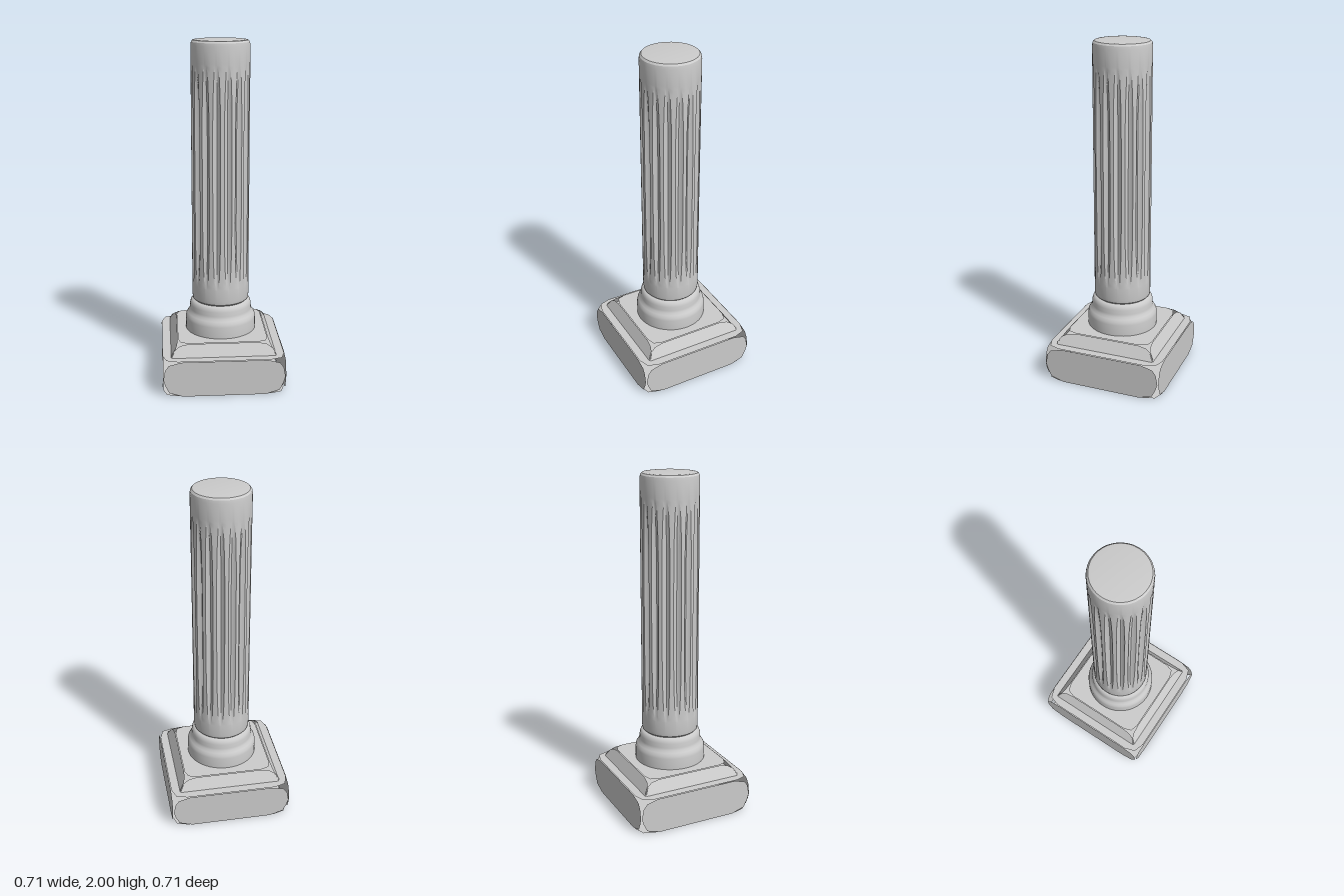
import * as THREE from 'three';
import { toCreasedNormals } from 'three/addons/utils/BufferGeometryUtils.js';

const material = new THREE.MeshStandardMaterial({ color: 0xcccccc, side: THREE.DoubleSide });

function addMesh(parent, name, geometry) {
  const mesh = new THREE.Mesh(geometry, material);
  mesh.name = name;
  parent.add(mesh);
  return mesh;
}

// flat panel, mirrored left to right from its right-hand outline (bottom to top)
function panelGeometry(half) {
  const left = half.map(([x, y]) => [-x, y]).reverse();
  const points = [...half, ...left].map(([x, y]) => new THREE.Vector2(x, y));
  return new THREE.ShapeGeometry(new THREE.Shape(points));
}

// square horizontal panel with softened corners
function squarePanel(r, y) {
  const a = r * 0.76, b = r * 0.94;
  const geometry = panelGeometry([[a, -r], [b, -b], [r, -a], [r, a], [b, b], [a, r]]);
  return geometry.rotateX(-Math.PI / 2).translate(0, y, 0);
}

// four side panels; z varies from zBottom to zTop over the panel height
function addSides(parent, name, half, zBottom, zTop) {
  const y0 = half[0][1], y1 = half[half.length - 1][1];
  const geometry = panelGeometry(half);
  const p = geometry.attributes.position;
  for (let i = 0; i < p.count; i++) {
    p.setZ(i, THREE.MathUtils.mapLinear(p.getY(i), y0, y1, zBottom, zTop));
  }
  geometry.computeVertexNormals();
  for (let i = 0; i < 4; i++) addMesh(parent, name, geometry).rotation.y = i * Math.PI / 2;
}

function lathe(points, segments) {
  return new THREE.LatheGeometry(points.map(([r, y]) => new THREE.Vector2(r, y)), segments);
}

// shaft with 16 pointed flutes: columns are drawn to the flute edges and sunk between them
function shaftGeometry() {
  const flutes = 16, columns = 6, y0 = 0.57, y1 = 1.88, rows = 24;
  const profile = [[0, 0.47], [0.155, 0.47], [0.165, 0.48], [0.168, 0.5]];
  for (let i = 0; i <= rows; i++) {
    const s = (1 - Math.cos(Math.PI * i / rows)) / 2;
    profile.push([0.168, y0 + (y1 - y0) * s]);
  }
  profile.push([0.168, 1.97], [0.165, 1.988], [0.156, 1.998], [0.14, 2], [0, 2]);
  const geometry = lathe(profile, flutes * columns);
  const p = geometry.attributes.position;
  const step = 2 * Math.PI / flutes;
  for (let i = 0; i < p.count; i++) {
    const y = p.getY(i);
    let r = Math.hypot(p.getX(i), p.getZ(i));
    const column = Math.floor(i / profile.length) % (flutes * columns);
    const k = column % columns;
    const s = Math.abs(2 * (y - y0) / (y1 - y0) - 1);
    const open = Math.max(0, 1 - s ** 4);
    const width = 0.06 + 0.075 * open;
    const t = (k - 2) / 2;
    const offset = k < 5 ? t * width : step / 2;
    if (k < 5) r -= 0.02 * open * (1 - t * t);
    const angle = (Math.floor(column / columns) + 0.5) * step + offset;
    p.setXYZ(i, r * Math.sin(angle), y, r * Math.cos(angle));
  }
  return toCreasedNormals(geometry, 0.45);
}

export function createModel() {
  const column = new THREE.Group();
  column.name = 'column';

  // lower plinth: six soft-cornered panels
  const plinth = new THREE.Group();
  plinth.name = 'plinth';
  column.add(plinth);
  addSides(plinth, 'plinthSide',
    [[0.24, 0], [0.32, 0.025], [0.342, 0.07], [0.353, 0.107], [0.342, 0.165], [0.32, 0.195], [0.25, 0.213]],
    0.357, 0.357);
  addMesh(plinth, 'plinthTop', squarePanel(0.354, 0.215));
  addMesh(plinth, 'plinthBottom', squarePanel(0.354, 0.002));

  // sloping upper step
  const step = new THREE.Group();
  step.name = 'step';
  column.add(step);
  addSides(step, 'stepSide',
    [[0.3, 0.216], [0.303, 0.23], [0.285, 0.257], [0.25, 0.277], [0.2, 0.285]],
    0.305, 0.265);
  addMesh(step, 'stepTop', squarePanel(0.262, 0.287));

  // round moulded base
  const base = lathe([[0.209, 0.286], [0.209, 0.355], [0.206, 0.372], [0.197, 0.387], [0.187, 0.4],
    [0.184, 0.415], [0.183, 0.44], [0.178, 0.458], [0.168, 0.469], [0, 0.47]], 48);
  addMesh(column, 'mouldedBase', toCreasedNormals(base, 0.9));

  addMesh(column, 'flutedShaft', shaftGeometry());
  return column;
}
